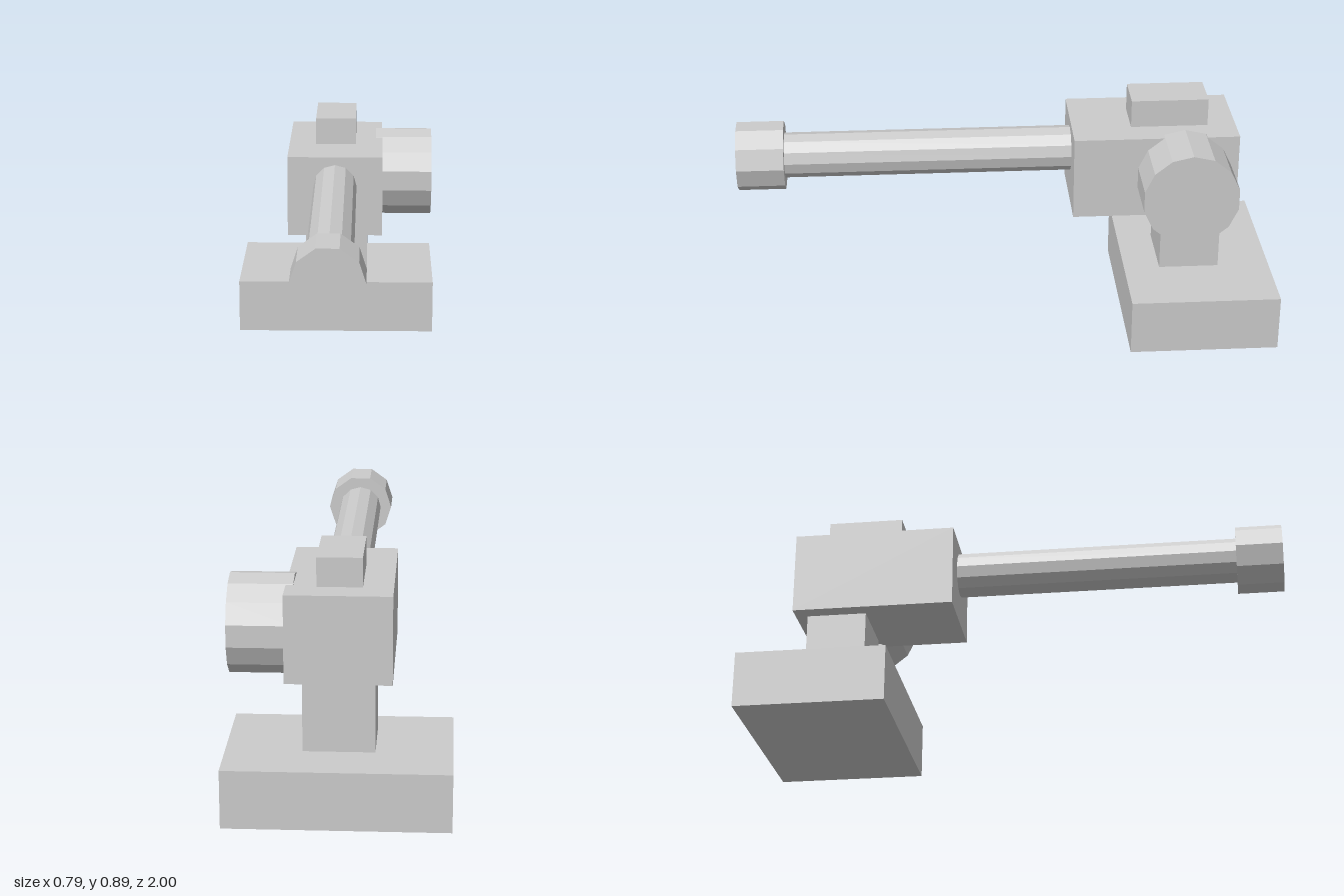
import * as THREE from 'three';

const material = new THREE.MeshStandardMaterial({ color: 0xcccccc, flatShading: true });

export function createModel() {
  const model = new THREE.Group();
  model.name = 'mountedCannon';

  const add = (name, geometry, x, y, z) => {
    const mesh = new THREE.Mesh(geometry, material);
    mesh.name = name;
    mesh.position.set(x, y, z);
    model.add(mesh);
  };

  // Box given by its width and its y and z ranges, centred on x = 0
  const box = (name, width, y0, y1, z0, z1) =>
    add(name, new THREE.BoxGeometry(width, y1 - y0, z1 - z0), 0, (y0 + y1) / 2, (z0 + z1) / 2);

  // Faceted cylinder along y with corners on the x axis
  const prism = (radius, length, sides) =>
    new THREE.CylinderGeometry(radius, radius, length, sides, 1, false, Math.PI / 2);

  // Stand
  box('base', 0.788, 0, 0.21, -1, -0.445);
  box('post', 0.252, 0.21, 0.47, -0.805, -0.58);

  // Receiver and top block
  box('receiver', 0.37, 0.47, 0.784, -0.85, -0.24);
  box('topBlock', 0.158, 0.784, 0.888, -0.745, -0.46);

  // Barrel and muzzle, pointing forward
  add('barrel', prism(0.084, 1.165, 12).rotateX(Math.PI / 2), 0, 0.669, 0.2425);
  add('muzzle', prism(0.128, 0.175, 10).rotateX(Math.PI / 2), 0, 0.669, 0.9125);

  // Drum on the left side
  add('drum', prism(0.177, 0.224, 14).rotateZ(Math.PI / 2), 0.271, 0.627, -0.65);

  return model;
}
